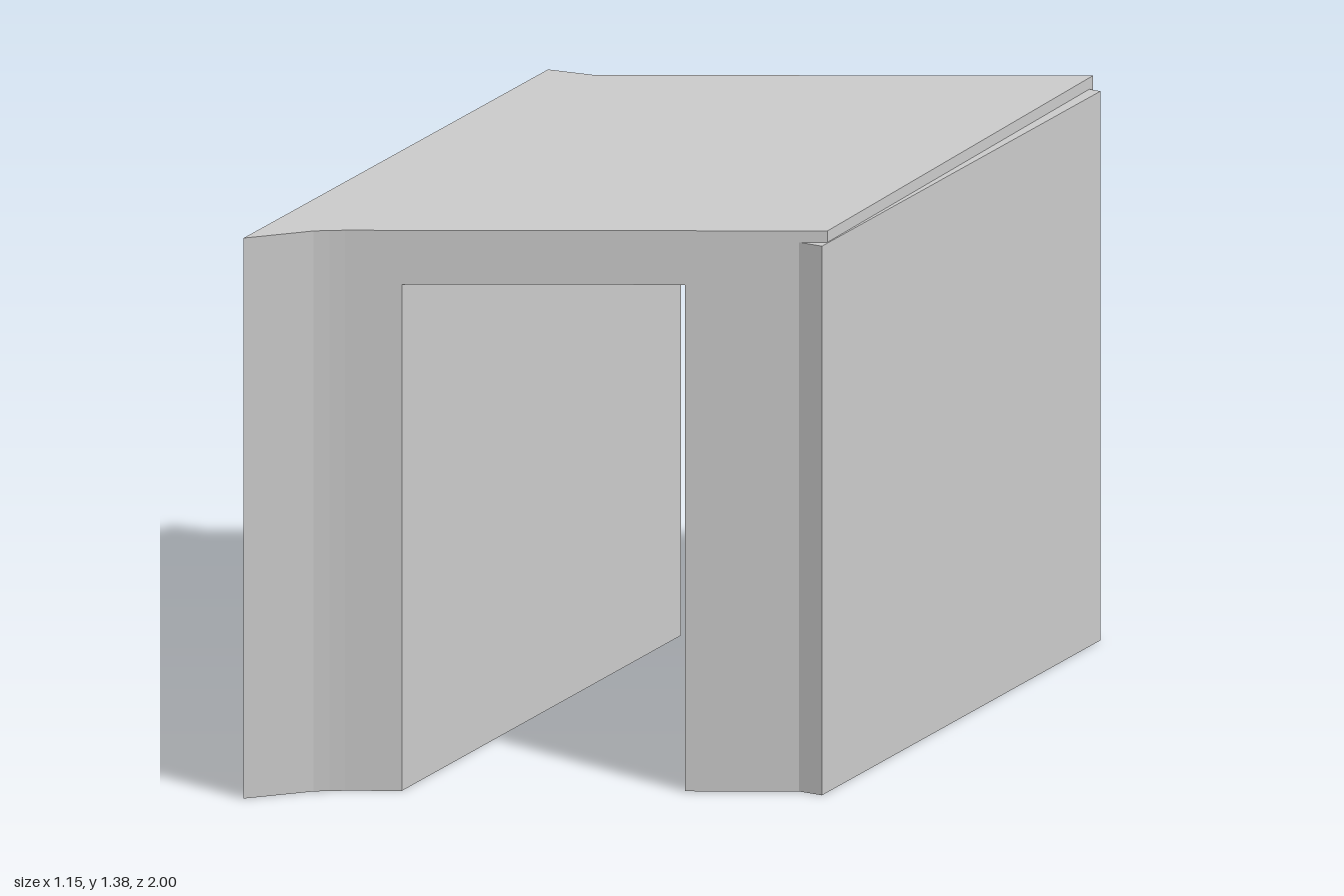
import * as THREE from 'three';

const material = new THREE.MeshStandardMaterial({ color: 0xcccccc, flatShading: true });

// Parallel skewed planes of the front and back
const frontZ = (x) => 0.602 - 0.577 * x;
const backZ = (x) => -0.685 - 0.577 * x;

// Extrude a plan outline of [x, z] points upward from y0 to y1
function prism(name, plan, y0, y1) {
  const shape = new THREE.Shape(plan.map(([x, z]) => new THREE.Vector2(x, -z)));
  const geometry = new THREE.ExtrudeGeometry(shape, { depth: y1 - y0, bevelEnabled: false });
  geometry.rotateX(-Math.PI / 2);
  geometry.translate(0, y0, 0);
  const mesh = new THREE.Mesh(geometry, material);
  mesh.name = name;
  return mesh;
}

export function createModel() {
  const group = new THREE.Group();
  group.name = 'skewedPortal';

  const lintel = 1.245, top = 1.378, inner = 0.285;

  // Flared front corner shared by the right wall and the roof
  const flare = [[-0.575, 1.0], [-0.46, 0.874], [-0.43, 0.852], [-0.4, frontZ(-0.4)]];

  // Wall on the -x side, its outer face tapering inward toward the back
  group.add(prism('rightWall', [
    ...flare,
    [-inner, frontZ(-inner)],
    [-inner, backZ(-inner)],
    [-0.46, backZ(-0.46)],
    [-0.515, -0.409],
  ], 0, lintel));

  // Wall on the +x side, rising into a small ledge beside the roof
  group.add(prism('leftWall', [
    [inner, frontZ(inner)],
    [0.515, frontZ(0.515)],
    [0.575, 0.302],
    [0.575, -0.983],
    [0.515, backZ(0.515)],
    [inner, backZ(inner)],
  ], 0, 1.35));

  // Roof slab, overhanging at both back corners
  group.add(prism('roof', [
    ...flare,
    [0.572, frontZ(0.572)],
    [0.545, -1.0],
    [-0.46, backZ(-0.46)],
    [-0.572, -0.4],
  ], lintel, top));

  return group;
}
